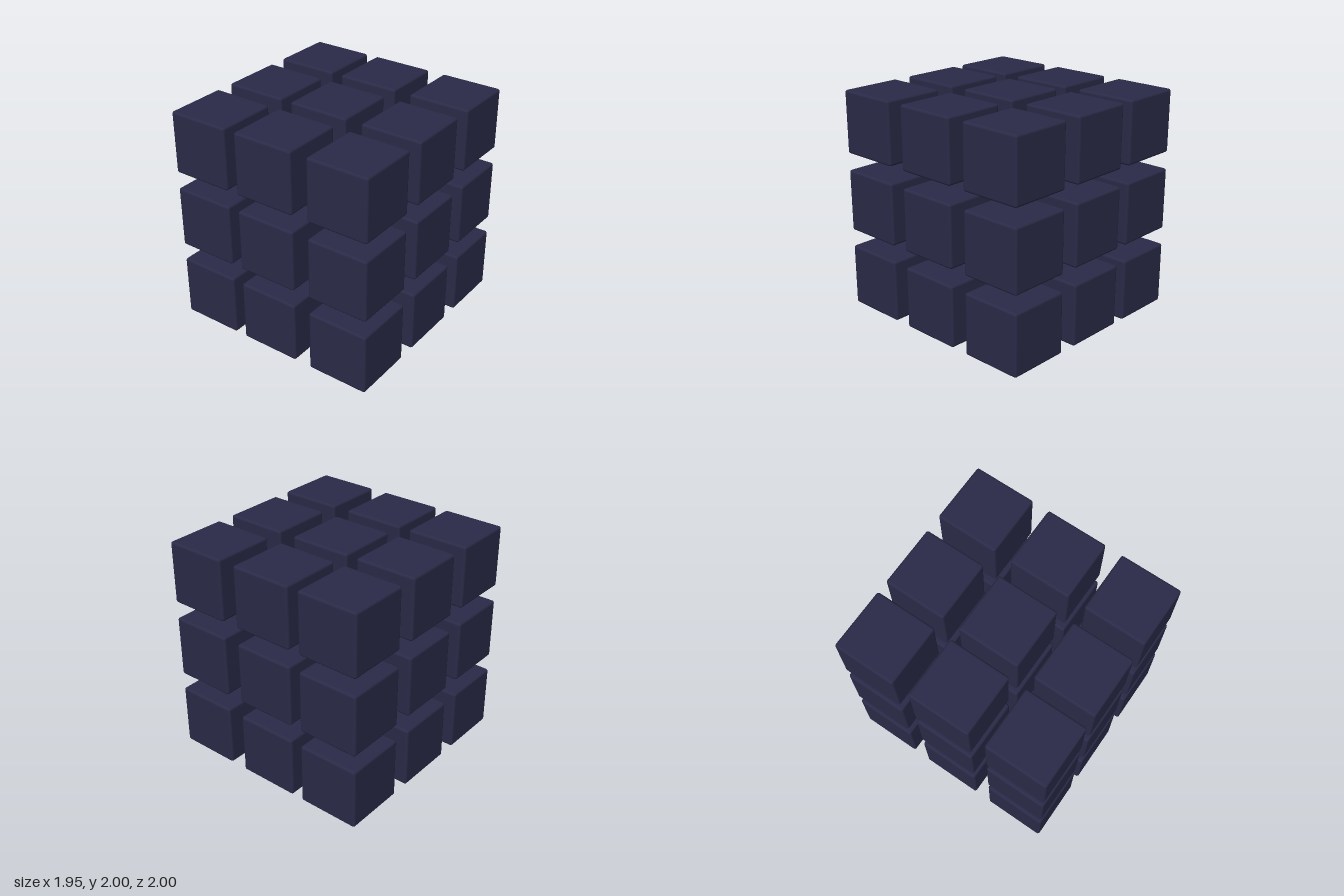
import * as THREE from 'three';
import { RoundedBoxGeometry } from 'three/addons/geometries/RoundedBoxGeometry.js';

const SIZE = 0.566;
const STEP = 0.717;

export function createModel() {
  const model = new THREE.Group();
  model.name = 'puzzleCube';

  const material = new THREE.MeshStandardMaterial({ color: 0x2a2a48 });
  const block = new RoundedBoxGeometry(SIZE, SIZE, SIZE, 3, 0.022);

  // The left-hand column sits slightly closer to the middle one
  const columns = [-0.693, -0.025, 0.692];
  const layers = ['bottom', 'middle', 'top'];
  const rows = ['Back', 'Centre', 'Front'];
  const sides = ['Right', 'Middle', 'Left'];

  // Three layers of nine separate blocks
  layers.forEach((layerName, j) => {
    const layer = new THREE.Group();
    layer.name = layerName + 'Layer';
    layer.position.y = 1 + (j - 1) * STEP;
    rows.forEach((row, k) => {
      columns.forEach((x, i) => {
        const mesh = new THREE.Mesh(block, material);
        mesh.name = layerName + row + sides[i] + 'Block';
        mesh.position.set(x, 0, (k - 1) * STEP);
        layer.add(mesh);
      });
    });
    model.add(layer);
  });

  return model;
}
